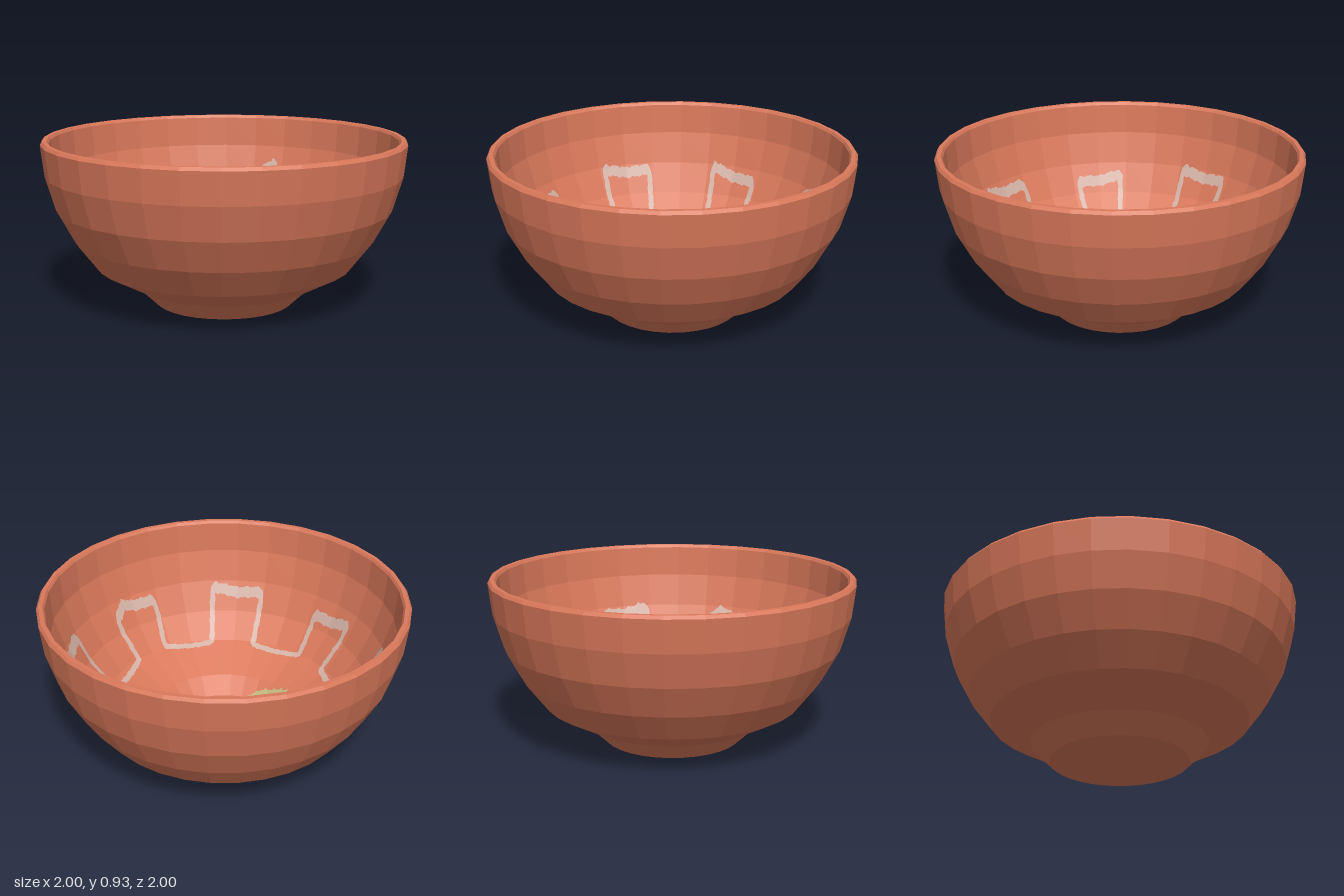
import * as THREE from 'three';

const SIDES = 32;
const OUTER = [[0, 0], [0.38, 0], [0.39, 0.01], [0.485, 0.1], [0.71, 0.22], [0.83, 0.375], [0.925, 0.55], [0.98, 0.735], [1, 0.908], [0.988, 0.925]];
const INNER = [[0.965, 0.925], [0.955, 0.91], [0.94, 0.74], [0.885, 0.56], [0.8, 0.395], [0.68, 0.255], [0.46, 0.14], [0.37, 0.05], [0.18, 0.043], [0, 0.043]];

// Lifts a plan position onto the faceted inner wall, a hair above the clay
function onInnerWall(x, z, lift = 0.006) {
  const step = (Math.PI * 2) / SIDES;
  const angle = Math.atan2(x, z) + Math.PI * 2;
  const r = Math.hypot(x, z) * Math.cos((angle % step) - step / 2) / Math.cos(step / 2);
  let i = 0;
  while (i < INNER.length - 2 && INNER[i + 1][0] > r) i++;
  const [r0, y0] = INNER[i], [r1, y1] = INNER[i + 1];
  const slope = (y0 - y1) / (r0 - r1);
  const n = lift / Math.hypot(1, slope);
  const k = 1 - (slope * n) / Math.hypot(x, z);
  return [x * k, y1 + (r - r1) * slope + n, z * k];
}

// Painted stroke along plan points [x, z, width]
function stroke(name, path, material, steps, across, tension, wobble) {
  const curve = new THREE.CatmullRomCurve3(path.map(([x, z, w = 0.03]) => new THREE.Vector3(x, w, z)), false, 'catmullrom', tension);
  const pos = [], index = [];
  for (let i = 0; i <= steps; i++) {
    const p = curve.getPointAt(i / steps), t = curve.getTangentAt(i / steps);
    const len = Math.hypot(t.x, t.z) || 1;
    const px = -t.z / len, pz = t.x / len;
    for (let j = 0; j <= across; j++) {
      const ragged = 1 + wobble * Math.sin(i * 1.9 + j * 2.3) * Math.cos(i * 0.63);
      const s = (j / across - 0.5) * p.y * ragged;
      pos.push(...onInnerWall(p.x + px * s, p.z + pz * s));
      if (i < steps && j < across) {
        const a = i * (across + 1) + j, b = a + across + 1;
        index.push(a, a + 1, b, a + 1, b + 1, b);
      }
    }
  }
  const geometry = new THREE.BufferGeometry();
  geometry.setAttribute('position', new THREE.Float32BufferAttribute(pos, 3));
  geometry.setIndex(index);
  geometry.computeVertexNormals();
  const mesh = new THREE.Mesh(geometry, material);
  mesh.name = name;
  return mesh;
}

export function createModel() {
  const group = new THREE.Group();
  group.name = 'bowl';
  const clay = new THREE.MeshStandardMaterial({ name: 'terracotta', color: 0xd9785a, flatShading: true });
  const cream = new THREE.MeshStandardMaterial({ name: 'pale line paint', color: 0xd2b0a4, side: THREE.DoubleSide });
  const green = new THREE.MeshStandardMaterial({ name: 'green paint', color: 0xbdb67c, side: THREE.DoubleSide });

  // Faceted bowl with foot, rim and inside in one turned profile
  const profile = [...OUTER, ...INNER].map(([r, y]) => new THREE.Vector2(r, y));
  const body = new THREE.Mesh(new THREE.LatheGeometry(profile, SIDES), clay);
  body.name = 'bowlBody';
  group.add(body);

  // Stepped line running round the wall, eight tabs
  const line = [
    [0.13, -0.645], [0.4, -0.55], [0.46, -0.64], [0.49, -0.69], [0.55, -0.67], [0.68, -0.5], [0.56, -0.38],
    [0.62, -0.1], [0.85, -0.13], [0.86, 0.14], [0.63, 0.11],
    [0.55, 0.39], [0.68, 0.48], [0.66, 0.56], [0.5, 0.69], [0.46, 0.65], [0.41, 0.55],
    [0.14, 0.65], [0.145, 0.85], [-0.15, 0.84], [-0.12, 0.65],
    [-0.4, 0.54], [-0.49, 0.67], [-0.68, 0.5], [-0.54, 0.39],
    [-0.65, 0.12], [-0.86, 0.14], [-0.85, -0.14], [-0.64, -0.1],
    [-0.53, -0.39], [-0.7, -0.52], [-0.49, -0.69], [-0.4, -0.57],
    [-0.11, -0.66], [-0.14, -0.82], [-0.09, -0.86], [0.13, -0.89], [0.145, -0.8], [0.135, -0.7],
  ];
  group.add(stroke('steppedLine', line, cream, 600, 2, 0.12, 0.25));

  // Four ragged leaf smears on the floor
  const leaves = {
    leafBackRight: [[0.13, -0.32, 0.04], [0.19, -0.29, 0.09], [0.25, -0.24, 0.15], [0.3, -0.18, 0.12], [0.35, -0.12, 0.08], [0.38, -0.1, 0.03]],
    leafBackLeft: [[-0.48, -0.13, 0.05], [-0.42, -0.16, 0.08], [-0.33, -0.19, 0.11], [-0.27, -0.24, 0.13], [-0.22, -0.29, 0.06], [-0.17, -0.3, 0.04], [-0.16, -0.26, 0.03], [-0.2, -0.24, 0.02]],
    leafFrontLeft: [[-0.42, 0.2, 0.04], [-0.37, 0.23, 0.08], [-0.3, 0.27, 0.12], [-0.23, 0.32, 0.08], [-0.16, 0.34, 0.06], [-0.08, 0.33, 0.03]],
    leafFrontRight: [[0.26, 0.06, 0.02], [0.3, 0.06, 0.04], [0.31, 0.11, 0.06], [0.27, 0.16, 0.09], [0.22, 0.2, 0.1], [0.18, 0.25, 0.06], [0.15, 0.27, 0.03]],
  };
  for (const [name, path] of Object.entries(leaves)) group.add(stroke(name, path, green, 44, 6, 0.5, 0.2));
  return group;
}
